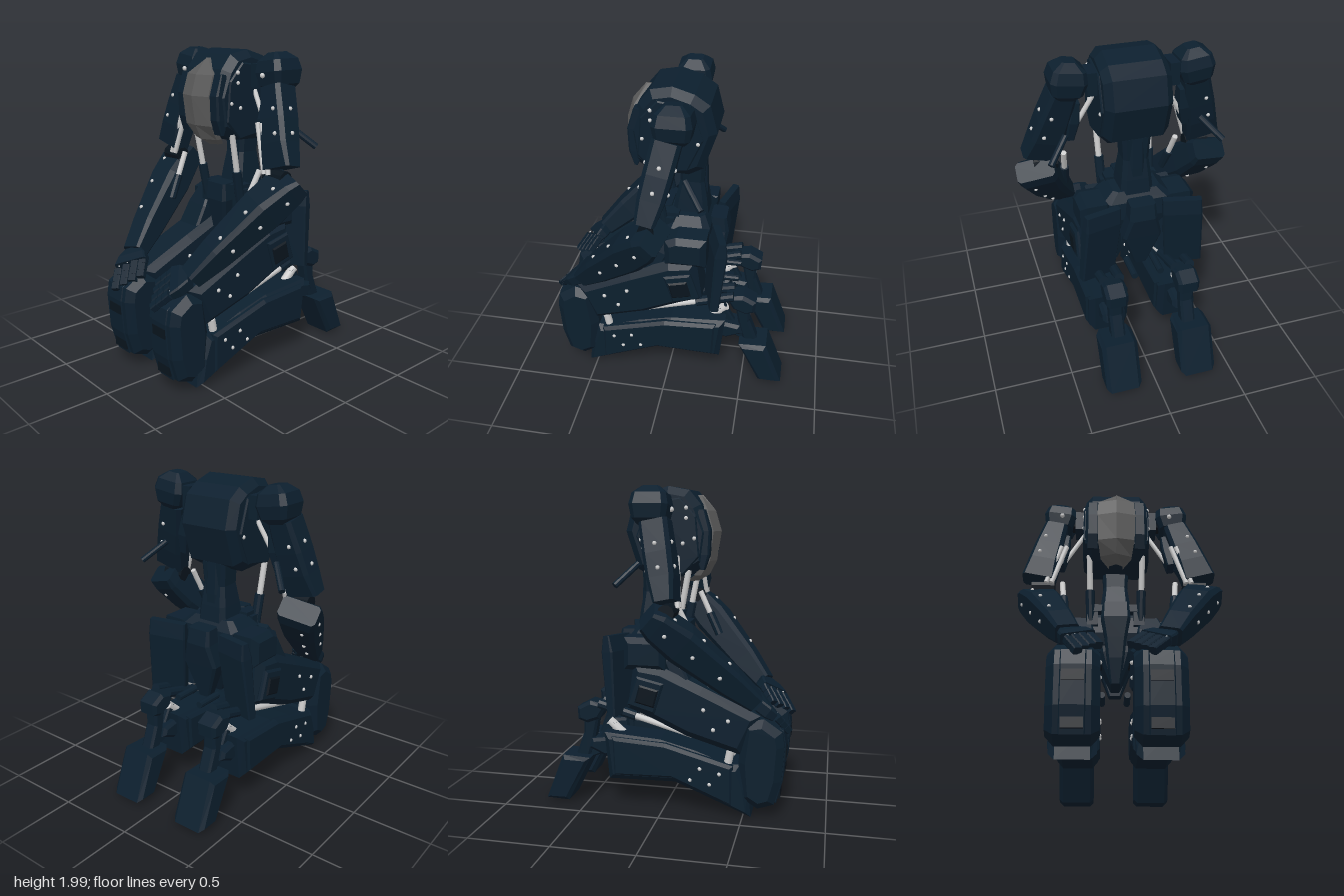
import * as THREE from 'three';

const V = (p) => new THREE.Vector3(...p);
const paint = (color) => new THREE.MeshStandardMaterial({ color, flatShading: true });
const navy = paint(0x0c1f2e), dark = paint(0x09141d), glass = paint(0x5c5c5c);
const steel = new THREE.MeshStandardMaterial({ color: 0xcccccc });

function add(parent, name, geo, mat = navy) {
  const m = new THREE.Mesh(geo, mat);
  m.name = name;
  parent.add(m);
  return m;
}

function mesh(parent, name, pos, idx, mat) {
  const geo = new THREE.BufferGeometry();
  geo.setAttribute('position', new THREE.Float32BufferAttribute(pos, 3));
  geo.setIndex(idx);
  geo.computeVertexNormals();
  return add(parent, name, geo, mat);
}

// Bevelled plate from a side profile of [z, y] points, centred on x
function slab(parent, name, pts, x, width, bevel = 0.02, mat = navy) {
  const shape = new THREE.Shape(pts.map(([z, y]) => new THREE.Vector2(z, y)));
  const depth = width - 2 * bevel;
  const geo = new THREE.ExtrudeGeometry(shape, {
    depth, bevelThickness: bevel, bevelSize: bevel, bevelOffset: -bevel, bevelSegments: 1,
  });
  geo.translate(0, 0, -depth / 2).rotateY(-Math.PI / 2).translate(x, 0, 0);
  return add(parent, name, geo, mat);
}

// Chamfered beam from a to b; sections are [t, half width along ref, half depth]
function limb(parent, name, a, b, ref, sections, mat = navy) {
  const A = V(a), dir = V(b).sub(A), len = dir.length();
  dir.normalize();
  const side = V(ref).addScaledVector(dir, -V(ref).dot(dir)).normalize();
  const pos = [], idx = [], n = 8;
  for (const [t, w, d] of sections) {
    const c = Math.min(w, d) * 0.28;
    for (const [x, z] of [[w, -d + c], [w, d - c], [w - c, d], [-w + c, d], [-w, d - c], [-w, -d + c], [-w + c, -d], [w - c, -d]])
      pos.push(x, t * len, z);
  }
  const last = (sections.length - 1) * n;
  for (let r = 0; r < last; r += n)
    for (let i = 0; i < n; i++) {
      const j = (i + 1) % n;
      idx.push(r + i, r + n + i, r + n + j, r + i, r + n + j, r + j);
    }
  for (let i = 1; i < n - 1; i++) idx.push(0, i, i + 1, last, last + i + 1, last + i);
  const m = mesh(parent, name, pos, idx, mat);
  m.position.copy(A);
  m.quaternion.setFromRotationMatrix(new THREE.Matrix4().makeBasis(side, dir, side.clone().cross(dir)));
  m.userData.len = len;
  return m;
}

function rod(parent, name, a, b, r, mat = steel) {
  const A = V(a), d = V(b).sub(A);
  const m = add(parent, name, new THREE.CylinderGeometry(r, r, d.length(), 10), mat);
  m.position.copy(A).addScaledVector(d, 0.5);
  m.quaternion.setFromUnitVectors(new THREE.Vector3(0, 1, 0), d.normalize());
}

// Steel rod sliding in a dark sleeve
function piston(parent, name, a, b, r, split = 0.55) {
  const mid = V(a).lerp(V(b), split).toArray();
  rod(parent, name + 'Rod', a, mid, r);
  rod(parent, name + 'Sleeve', mid, b, r * 1.6, navy);
}

function rivet(parent, p, r = 0.013) {
  add(parent, 'rivet', new THREE.SphereGeometry(r, 8, 6), steel).position.set(...p);
}

function box(parent, name, size, p, mat = navy) {
  add(parent, name, new THREE.BoxGeometry(...size), mat).position.set(...p);
}

function buildTorso(g) {
  slab(g, 'torsoShell', [[0, 2], [0.13, 1.975], [0.2, 1.89], [0.262, 1.73], [0.235, 1.53], [0.13, 1.46],
    [-0.1, 1.45], [-0.19, 1.5], [-0.265, 1.73], [-0.22, 1.9], [-0.13, 1.96]], 0, 0.41, 0.045);
  // Faceted canopy rows: height, half width, edge z, middle z
  const rows = [[1.95, 0.004, 0.175, 0.185], [1.855, 0.12, 0.235, 0.265], [1.73, 0.125, 0.272, 0.303],
    [1.55, 0.12, 0.25, 0.275], [1.46, 0.1, 0.19, 0.23], [1.42, 0.045, 0.13, 0.16]];
  const pos = [], idx = [];
  for (const [y, w, ze, zm] of rows) pos.push(-w, y, ze - 0.04, -w, y, ze, 0, y, zm, w, y, ze, w, y, ze - 0.04);
  for (let r = 0; r < rows.length - 1; r++)
    for (let c = 0; c < 4; c++) {
      const i = r * 5 + c;
      idx.push(i, i + 5, i + 6, i, i + 6, i + 1);
    }
  const mat = glass.clone();
  mat.side = THREE.DoubleSide;
  mesh(g, 'canopy', pos, idx, mat);
  for (const s of [-1, 1]) {
    slab(g, 'torsoSidePanel', [[0.08, 1.93], [0.18, 1.82], [0.2, 1.58], [0.1, 1.47], [-0.1, 1.5], [-0.19, 1.7], [-0.12, 1.9]], s * 0.2, 0.035, 0.008);
    // Canopy frame at the front corners
    limb(g, 'frontFrame', [s * 0.155, 1.86, 0.205], [s * 0.155, 1.5, 0.215], [s, 0, 0], [[0, 0.035, 0.02], [0.35, 0.04, 0.055], [0.75, 0.04, 0.045], [1, 0.035, 0.01]]);
    for (const [z, y] of [[0.12, 1.87], [0.12, 1.81], [0.17, 1.69], [0.1, 1.66], [-0.16, 1.68]]) rivet(g, [s * 0.215, y, z]);
    piston(g, 'waistPiston', [s * 0.175, 1.5, 0.13], [s * 0.16, 1.02, 0.04], 0.019, 0.5);
    box(g, 'waistSocket', [0.07, 0.12, 0.09], [s * 0.15, 1.08, 0.03]);
  }
}

function buildPelvis(g) {
  limb(g, 'spine', [0, 1.08, -0.1], [0, 1.5, -0.11], [1, 0, 0], [[0, 0.11, 0.12], [0.35, 0.095, 0.1], [0.65, 0.08, 0.075], [1, 0.09, 0.08]]);
  slab(g, 'spineGuard', [[-0.06, 1.5], [-0.19, 1.5], [-0.2, 1.3], [-0.2, 1.12], [-0.03, 1.12], [-0.01, 1.25]], 0, 0.1);
  limb(g, 'waistBlock', [0, 0.9, -0.1], [0, 1.15, -0.1], [1, 0, 0], [[0, 0.17, 0.13], [0.3, 0.23, 0.15], [0.75, 0.22, 0.14], [1, 0.15, 0.1]]);
  limb(g, 'frontPlate', [0, 1.17, 0.07], [0, 0.63, 0.02], [1, 0, 0], [[0, 0.085, 0.05], [0.2, 0.095, 0.07], [0.45, 0.07, 0.06], [0.7, 0.055, 0.05], [1, 0.03, 0.025]]);
  box(g, 'frontBelt', [0.32, 0.05, 0.12], [0, 1.14, 0.02]);
  limb(g, 'crotch', [0, 0.98, -0.12], [0, 0.64, -0.08], [1, 0, 0], [[0, 0.13, 0.14], [0.4, 0.11, 0.12], [1, 0.03, 0.06]]);
  limb(g, 'rearPlate', [0, 1.11, -0.28], [0, 0.64, -0.25], [1, 0, 0], [[0, 0.08, 0.05], [0.2, 0.09, 0.075], [0.5, 0.125, 0.06], [1, 0.04, 0.03]]);
  for (const s of [-1, 1]) {
    limb(g, 'rearSkirt', [s * 0.255, 1.1, -0.31], [s * 0.29, 0.61, -0.275], [s, 0, -0.3], [[0, 0.12, 0.022], [0.2, 0.125, 0.04], [1, 0.12, 0.028]]);
    slab(g, 'hipBlock', [[0.02, 1.07], [-0.05, 1.1], [-0.24, 1.1], [-0.24, 0.9], [0.02, 0.9]], s * 0.27, 0.2, 0.035);
    limb(g, 'hipWedge', [s * 0.22, 1.07, 0], [s * 0.24, 0.8, 0.13], [s, 0, 0], [[0, 0.06, 0.04], [0.4, 0.09, 0.05], [1, 0.1, 0.05]]);
    rod(g, 'hipAxle', [0, 0.86, -0.1], [s * 0.3, 0.82, -0.1], 0.07, dark);
    rod(g, 'rearPin', [s * 0.085, 0.66, -0.25], [s * 0.085, 0.66, -0.43], 0.022, navy);
  }
}

function buildLeg(g, s) {
  const x = s * 0.235;
  slab(g, 'thigh', [[0.6, 0.65], [0.25, 0.81], [0, 0.92], [-0.18, 0.945], [-0.22, 0.66], [-0.07, 0.6], [0.15, 0.5], [0.49, 0.4]], x, 0.28, 0.045);
  slab(g, 'hipCover', [[0.02, 0.83], [-0.15, 0.87], [-0.21, 0.69], [-0.04, 0.64]], x + s * 0.14, 0.04, 0.012);
  slab(g, 'hipInset', [[-0.01, 0.79], [-0.13, 0.82], [-0.16, 0.71], [-0.04, 0.68]], x + s * 0.155, 0.03, 0.01, dark);
  slab(g, 'kneeGuard', [[0.73, 0.56], [0.62, 0.635], [0.5, 0.61], [0.47, 0.36], [0.49, 0.13], [0.59, 0.07], [0.69, 0.105], [0.73, 0.25], [0.745, 0.47]], x, 0.29, 0.045);
  slab(g, 'kneeRidge', [[0.7, 0.58], [0.735, 0.56], [0.752, 0.47], [0.738, 0.25], [0.7, 0.1], [0.66, 0.12]], x, 0.14, 0.006);
  for (const [y, z] of [[0.16, 0.71], [0.41, 0.742]]) box(g, 'kneeSlot', [0.12, 0.06, 0.025], [x, y, z], dark);
  slab(g, 'shin', [[0.48, 0.34], [0.41, 0.335], [0.2, 0.41], [-0.02, 0.465], [-0.375, 0.49], [-0.345, 0.19], [0.08, 0.2], [0.55, 0.01], [0.53, 0.2]], x, 0.26, 0.035);
  slab(g, 'calfPad', [[0.44, 0.335], [0.02, 0.45], [-0.32, 0.47], [-0.31, 0.22], [0.06, 0.23], [0.44, 0.08]], x, 0.285, 0.02);
  for (const e of [-1, 1]) {
    const face = x + e * 0.14;
    for (const [z, y] of [[0.41, 0.62], [0.26, 0.68], [0.32, 0.56], [0.36, 0.285], [0.24, 0.31], [0.3, 0.215], [0.18, 0.235]]) rivet(g, [face, y, z]);
    rod(g, 'kneeLink', [x + e * 0.08, 0.32, 0.4], [x + e * 0.08, 0.42, 0.42], 0.025);
    piston(g, 'thighPiston', [x + e * 0.07, 0.5, 0.18], [x + e * 0.05, 0.66, -0.42], 0.02, 0.6);
  }
  // Ankle, heel and folded foot
  slab(g, 'ankle', [[-0.33, 0.45], [-0.47, 0.43], [-0.49, 0.37], [-0.38, 0.32], [-0.33, 0.34]], x, 0.15);
  rod(g, 'anklePiston', [x, 0.46, -0.28], [x, 0.54, -0.37], 0.03);
  slab(g, 'heel', [[-0.37, 0.65], [-0.48, 0.675], [-0.565, 0.63], [-0.56, 0.55], [-0.5, 0.53], [-0.42, 0.56]], x, 0.14);
  slab(g, 'footStrut', [[-0.43, 0.58], [-0.53, 0.57], [-0.53, 0.46], [-0.59, 0.3], [-0.5, 0.28], [-0.46, 0.42]], x, 0.09, 0.015);
  slab(g, 'ankleLink', [[-0.36, 0.56], [-0.32, 0.53], [-0.42, 0.32], [-0.56, 0.26], [-0.56, 0.34], [-0.45, 0.4]], x, 0.05, 0.01);
  slab(g, 'toe', [[-0.47, 0.315], [-0.65, 0.325], [-0.765, 0.03], [-0.615, 0.025]], s * 0.25, 0.23, 0.025);
}

function buildArm(g, s, elbow, top, wrist, tip) {
  const X = ([x, y, z]) => [s * x, y, z];
  const out = [s, 0, 0];
  limb(g, 'shoulder', [s * 0.4, 1.77, -0.05], [s * 0.37, 1.99, -0.05], out, [[0, 0.05, 0.07], [0.15, 0.09, 0.1], [0.5, 0.11, 0.115], [0.8, 0.095, 0.1], [1, 0.04, 0.05]]);
  rod(g, 'shoulderAxle', [s * 0.18, 1.85, -0.05], [s * 0.36, 1.85, -0.05], 0.05, dark);
  box(g, 'shoulderBlock', [0.06, 0.14, 0.14], [s * 0.25, 1.85, -0.05]);
  rivet(g, [s * 0.37, 1.86, 0.065], 0.016);
  const upper = limb(g, 'upperArm', [s * 0.41, 1.79, -0.02], X(elbow), out, [[0, 0.08, 0.085], [0.4, 0.095, 0.085], [0.7, 0.1, 0.08], [1, 0.108, 0.06]]);
  limb(g, 'armBracket', [s * 0.33, 1.72, -0.02], [s * 0.37, 1.47, 0.02], out, [[0, 0.02, 0.04], [0.5, 0.035, 0.06], [1, 0.025, 0.05]]);
  const fore = limb(g, 'forearm', X(top), X(wrist), out, [[0, 0.12, 0.065], [0.08, 0.12, 0.09], [0.3, 0.11, 0.11], [0.75, 0.085, 0.085], [1, 0.07, 0.055]]);
  for (const [part, t, w, d] of [[upper, 0.3, 0.09, 0.084], [upper, 0.6, 0.097, 0.081], [fore, 0.15, 0.115, 0.094], [fore, 0.4, 0.103, 0.104], [fore, 0.65, 0.09, 0.09]]) {
    rivet(part, [w, t * part.userData.len, 0]);
    for (const e of [-1, 1]) rivet(part, [w * 0.4, t * part.userData.len, e * d]);
  }
  const E = V(elbow);
  const near = (x, y, z) => X([E.x + x, E.y + y, E.z + z]);
  rod(g, 'elbowAxle', near(-0.11, -0.06, 0), near(0.04, -0.06, 0), 0.05, dark);
  for (const d of [0, 0.035]) rod(g, 'upperPiston', near(d - 0.09, -0.04, 0.05), near(d - 0.18, 0.25, 0.02), 0.016);
  piston(g, 'forearmPiston', near(-0.16, -0.03, 0.02), near(-0.19, -0.32, 0.16), 0.018, 0.5);
  rod(g, 'innerPiston', [s * 0.36, 1.5, 0], [s * 0.21, 1.76, -0.02], 0.015);
  rod(g, 'armSpur', [s * 0.535, 1.43, -0.23], [s * 0.42, 1.55, -0.12], 0.02, navy);
  // Hand draped over the knee, with jointed fingers
  const W = V(X(wrist)), T = V(X(tip)), across = V([s * 0.14, -0.11, 0.15]).normalize();
  const palmEnd = W.clone().lerp(T, 0.5);
  palmEnd.y += 0.025;
  limb(g, 'palm', W.toArray(), palmEnd.toArray(), across.toArray(), [[0, 0.06, 0.04], [0.5, 0.1, 0.04], [1, 0.115, 0.03]]);
  const step = T.clone().sub(palmEnd).divideScalar(3);
  for (let f = 0; f < 4; f++)
    for (let k = 0; k < 3; k++) {
      const a = palmEnd.clone().addScaledVector(across, (f - 1.5) * 0.06).addScaledVector(step, k);
      const b = a.clone().addScaledVector(step, 0.95);
      limb(g, 'finger', a.toArray(), b.toArray(), across.toArray(), [[0, 0.026, 0.025], [1, 0.026, 0.022]]);
      rivet(g, [a.x, a.y + 0.024, a.z], 0.006);
    }
  const thumb = W.clone().lerp(T, 0.25).addScaledVector(across, -0.06);
  limb(g, 'thumb', thumb.toArray(), thumb.clone().addScaledVector(step, 2).addScaledVector(across, -0.03).toArray(), across.toArray(), [[0, 0.024, 0.022], [1, 0.018, 0.016]]);
}

export function createModel() {
  const root = new THREE.Group();
  root.name = 'kneelingMachine';
  const body = new THREE.Group();
  body.name = 'body';
  body.position.x = -0.035;
  root.add(body);
  const part = (name) => {
    const g = new THREE.Group();
    g.name = name;
    body.add(g);
    return g;
  };
  buildTorso(part('torso'));
  buildPelvis(part('pelvis'));
  for (const s of [1, -1]) buildLeg(part(s > 0 ? 'leftLeg' : 'rightLeg'), s);
  buildArm(part('leftArm'), 1, [0.55, 1.34, 0.08], [0.59, 1.27, 0.02], [0.3, 0.72, 0.56], [0.13, 0.585, 0.7]);
  buildArm(part('rightArm'), -1, [0.51, 1.34, 0.07], [0.535, 1.26, -0.04], [0.28, 0.73, 0.56], [0.155, 0.58, 0.7]);
  return root;
}
